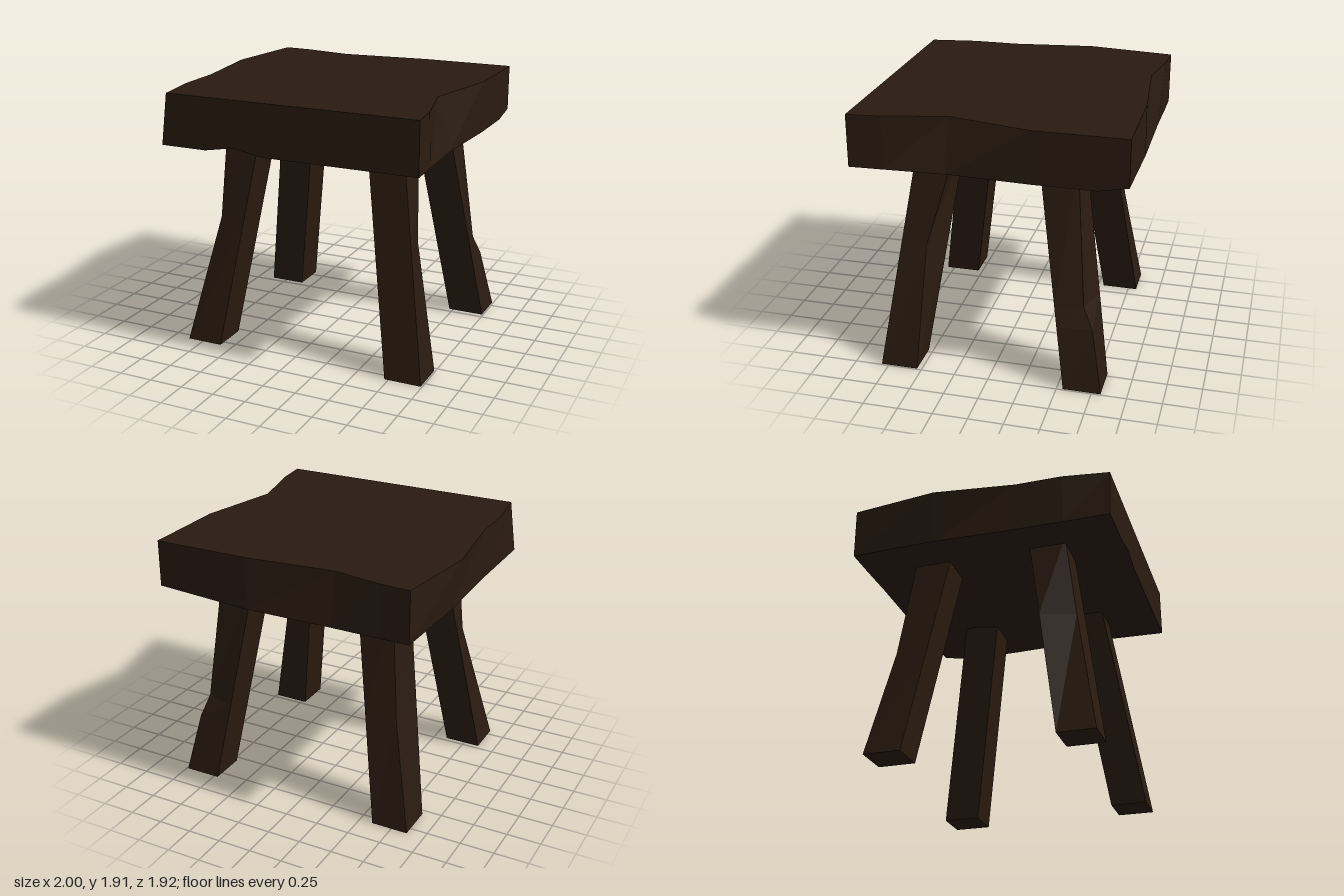
import * as THREE from 'three';

const wood = new THREE.MeshStandardMaterial({ color: 0x2a1b10, flatShading: true, roughness: 0.9 });

// Skin a stack of rings (bottom to top, counter-clockwise from above) and cap both ends.
function loft(rings, name) {
  const out = [];
  const tri = (...pts) => pts.forEach((p) => out.push(...p));
  const n = rings[0].length;
  const centre = (ring, y) => [0, 2].map((k) => ring.reduce((s, p) => s + p[k], 0) / n).toSpliced(1, 0, y);
  const low = rings[0], high = rings[rings.length - 1];
  const lowCentre = centre(low, Math.min(...low.map((p) => p[1])));
  const highCentre = centre(high, high[0][1]);
  for (let i = 0; i < n; i++) {
    const j = (i + 1) % n;
    for (let r = 0; r < rings.length - 1; r++) {
      const a = rings[r], b = rings[r + 1];
      tri(a[i], a[j], b[j]);
      tri(a[i], b[j], b[i]);
    }
    tri(lowCentre, low[j], low[i]);
    tri(highCentre, high[i], high[j]);
  }
  const geometry = new THREE.BufferGeometry();
  geometry.setAttribute('position', new THREE.Float32BufferAttribute(out, 3));
  geometry.computeVertexNormals();
  const mesh = new THREE.Mesh(geometry, wood);
  mesh.name = name;
  return mesh;
}

// Rough-hewn slab: [top x, top z, bottom x, bottom z, bottom y]
function makeSeat() {
  const B = 1.54, T = 1.915;
  const outline = [
    [1, 0.96, 1, 0.96, B],
    [0.975, 0.72, 0.99, 0.72, B],
    [0.87, 0.28, 0.97, 0.28, B],
    [1, -0.32, 1, -0.32, B],
    [1, -0.75, 1, -0.75, B],
    [1, -0.96, 1, -0.96, 1.58],
    [0.3, -0.955, 0.3, -0.96, B],
    [-0.35, -0.89, -0.35, -0.955, B],
    [-0.7, -0.95, -0.7, -0.96, B],
    [-0.92, -0.96, -0.92, -0.96, B],
    [-1, -0.32, -0.94, -0.32, B],
    [-0.92, 0.28, -0.92, 0.28, B],
    [-0.92, 0.62, -0.92, 0.62, B],
    [-0.87, 0.96, -0.92, 0.96, B],
    [-0.57, 0.96, -0.57, 0.96, B],
    [-0.35, 0.96, -0.35, 0.96, 1.58],
    [-0.13, 0.96, -0.13, 0.96, B],
  ];
  return loft([
    outline.map(([, , x, z, y]) => [x, y, z]),
    outline.map(([x, z]) => [x, T, z]),
  ], 'seat');
}

// Splayed square leg; each dent is [height, corner, dx, dz].
const CORNERS = [[1, 1], [1, -1], [-1, -1], [-1, 1]];
function makeLeg(name, foot, head, dents) {
  const half = 0.135, top = 1.6;
  const heights = [0, ...dents.map((d) => d[0]), top];
  const rings = heights.map((y) => {
    const t = y / 1.54;
    return CORNERS.map(([sx, sz], c) => {
      const d = dents.find((e) => e[0] === y && e[1] === c);
      return [
        foot[0] + (head[0] - foot[0]) * t + sx * half + (d ? d[2] : 0),
        y,
        foot[1] + (head[1] - foot[1]) * t + sz * half + (d ? d[3] : 0),
      ];
    });
  });
  return loft(rings, name);
}

export function createModel() {
  const stool = new THREE.Group();
  stool.name = 'stool';
  stool.add(makeSeat());

  // Legs, each with one chipped outer corner
  const legs = [
    ['frontLeftLeg', [0.855, 0.67], [0.615, 0.435], [[0.92, 1, -0.02, 0.09]]],
    ['backLeftLeg', [0.855, -0.68], [0.615, -0.45], [[0.45, 1, -0.02, 0.02], [0.6, 1, -0.04, 0.07]]],
    ['frontRightLeg', [-0.735, 0.67], [-0.5, 0.435], [[0.95, 3, 0.075, -0.02]]],
    ['backRightLeg', [-0.735, -0.68], [-0.5, -0.45], [[0.8, 2, 0.04, 0.02]]],
  ];
  legs.forEach((leg) => stool.add(makeLeg(...leg)));
  return stool;
}
